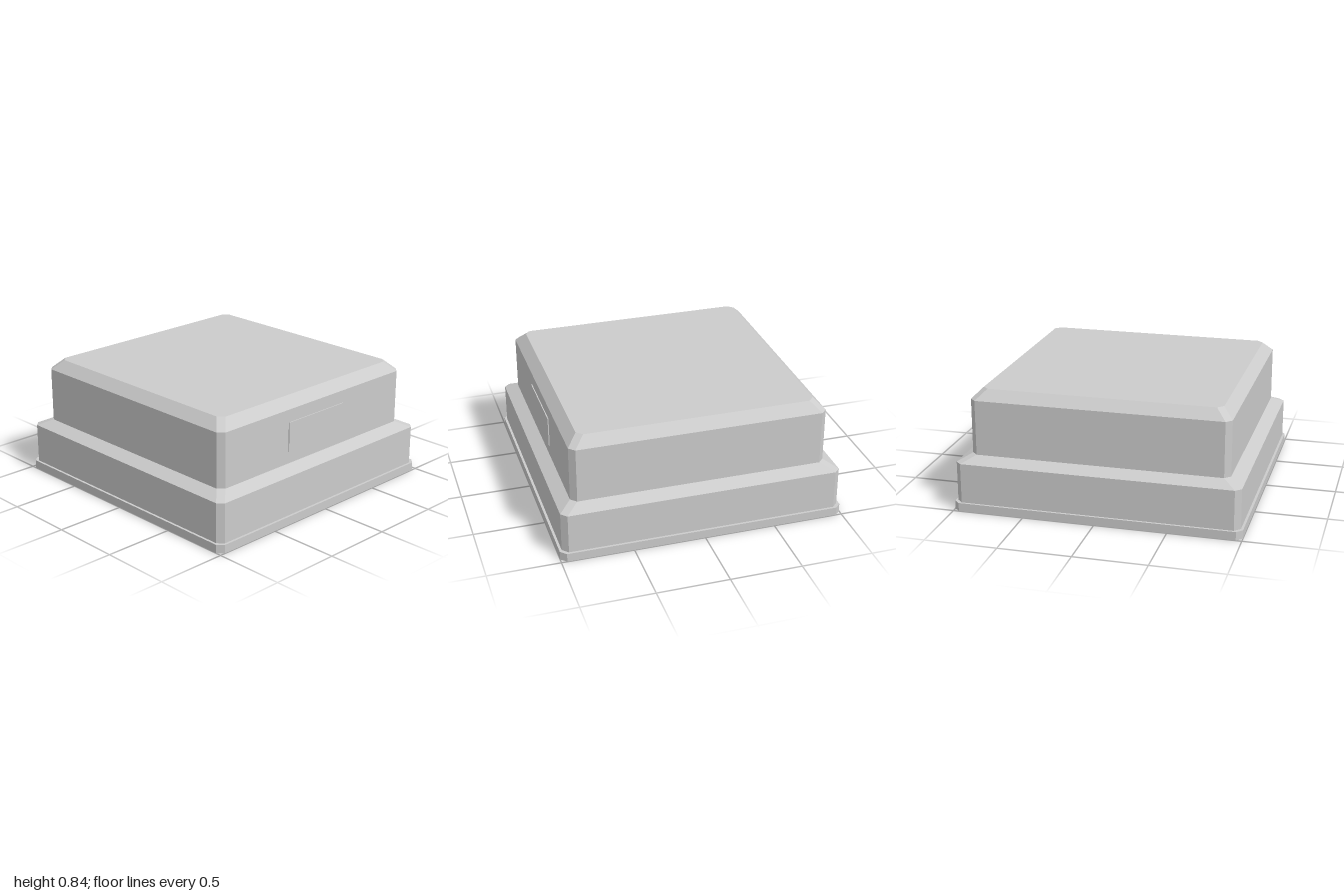
import * as THREE from 'three';

const CHAMFER = 0.04;

// Square ring with cut corners, counter-clockwise seen from above
function ring(half, y) {
  const a = half, b = half - CHAMFER;
  return [[a, b], [a, -b], [b, -a], [-b, -a], [-a, -b], [-a, b], [-b, a], [b, a]]
    .map(([x, z]) => [x, y, z]);
}

// Closed, flat-faced solid through [halfWidth, height] levels from bottom to top
function loft(levels) {
  const rings = levels.map(([half, y]) => ring(half, y));
  const n = rings[0].length;
  const positions = [];
  const tri = (...corners) => corners.forEach((p) => positions.push(...p));
  for (let k = 0; k < rings.length - 1; k++) {
    const lo = rings[k], hi = rings[k + 1];
    for (let i = 0; i < n; i++) {
      const j = (i + 1) % n;
      tri(lo[i], lo[j], hi[j]);
      tri(lo[i], hi[j], hi[i]);
    }
  }
  const bottom = rings[0], top = rings[rings.length - 1];
  for (let i = 1; i < n - 1; i++) {
    tri(bottom[0], bottom[i + 1], bottom[i]);
    tri(top[0], top[i], top[i + 1]);
  }
  const geometry = new THREE.BufferGeometry();
  geometry.setAttribute('position', new THREE.Float32BufferAttribute(positions, 3));
  geometry.computeVertexNormals();
  return geometry;
}

export function createModel() {
  const group = new THREE.Group();
  const material = new THREE.MeshStandardMaterial({ color: 0xcccccc, flatShading: true });
  const add = (name, geometry) => {
    const mesh = new THREE.Mesh(geometry, material);
    mesh.name = name;
    group.add(mesh);
    return mesh;
  };

  // Thin foot flange
  add('baseFlange', loft([[1, 0], [1, 0.06]]));
  // Wide lower body with sloped shoulder
  add('lowerBody', loft([[0.983, 0.06], [0.983, 0.34], [0.895, 0.385]]));
  // Narrower upper body with bevelled top edge
  add('upperBody', loft([[0.895, 0.385], [0.895, 0.77], [0.825, 0.84]]));
  // Shallow raised plate on the front
  add('frontPlate', new THREE.BoxGeometry(0.54, 0.21, 0.02)).position.set(0, 0.575, 0.892);

  return group;
}
